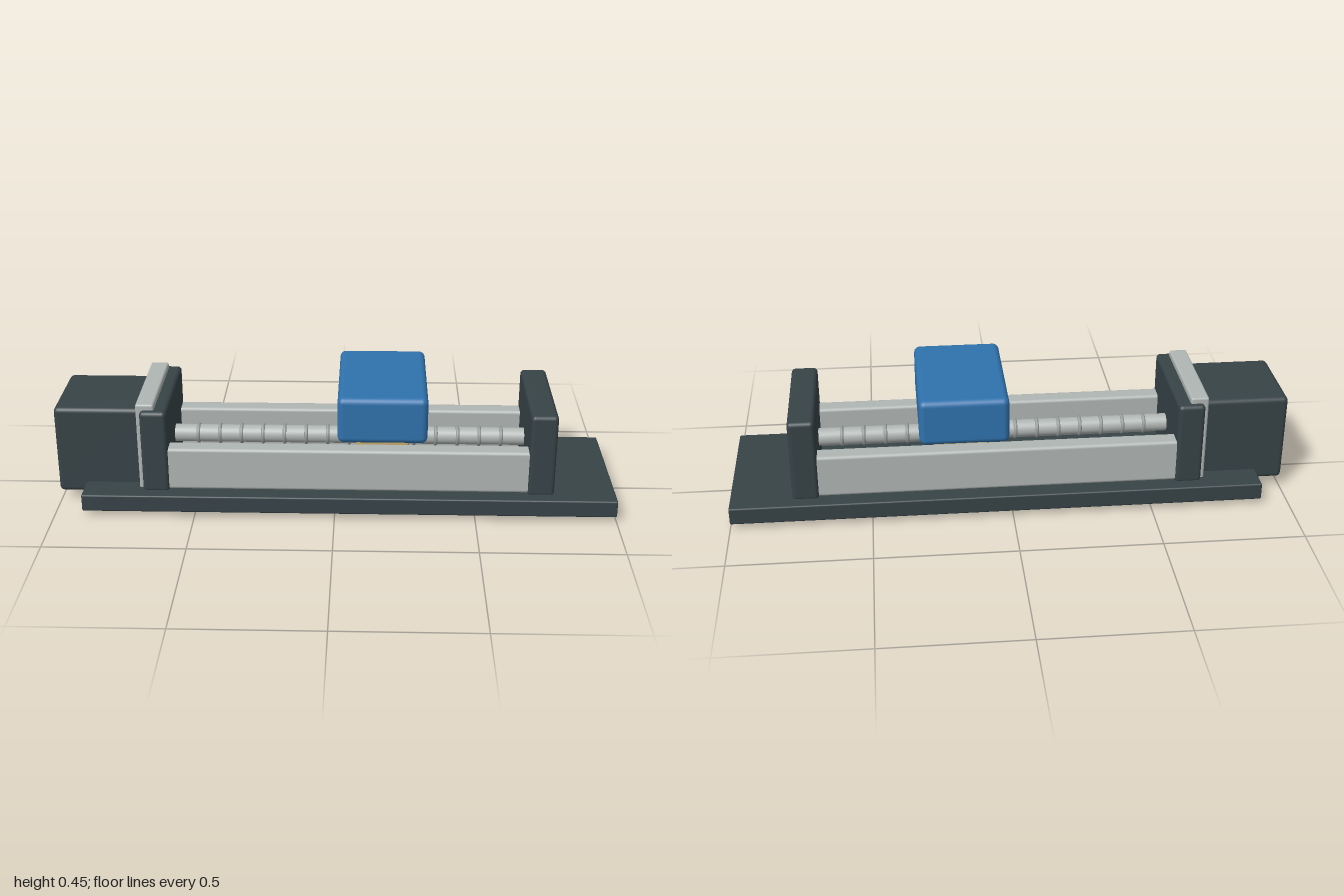
import * as THREE from 'three';
import { RoundedBoxGeometry } from 'three/addons/geometries/RoundedBoxGeometry.js';

const material = (color) => new THREE.MeshStandardMaterial({ color });

export function createModel() {
  const model = new THREE.Group();
  const dark = material(0x374347);
  const steel = material(0xb0b6b4);
  const screwSteel = material(0x9a9f9f);
  const blue = material(0x2f72ad);
  const brass = material(0xc8aa6a);

  const add = (name, geometry, mat, parent = model) => {
    const mesh = new THREE.Mesh(geometry, mat);
    mesh.name = name;
    parent.add(mesh);
    return mesh;
  };

  // Bevelled box from its x, y and z ranges
  const block = (name, [x0, x1], [y0, y1], [z0, z1], bevel, mat) => {
    const geometry = new RoundedBoxGeometry(x1 - x0, y1 - y0, z1 - z0, 3, bevel);
    const mesh = add(name, geometry, mat);
    mesh.position.set((x0 + x1) / 2, (y0 + y1) / 2, (z0 + z1) / 2);
    return mesh;
  };

  // Base and end supports
  block('basePlate', [-0.9, 1], [0.02, 0.083], [-0.273, 0.273], 0.006, dark);
  block('motorEndSupport', [-0.685, -0.59], [0.075, 0.384], [-0.225, 0.225], 0.015, dark);
  block('farEndSupport', [0.685, 0.78], [0.075, 0.384], [-0.225, 0.225], 0.015, dark);

  // Motor and its mounting flange
  block('motorBody', [-1, -0.66], [0.043, 0.37], [-0.163, 0.163], 0.017, dark);
  block('motorFlange', [-0.7, -0.635], [0, 0.405], [-0.203, 0.203], 0.008, steel);

  // Pair of guide rails
  for (const side of [-1, 1]) {
    const rail = block(side > 0 ? 'frontRail' : 'backRail',
      [-0.62, 0.72], [0.083, 0.241], [-0.034, 0.034], 0.012, steel);
    rail.position.z = side * 0.182;
  }

  // Lead screw with evenly spaced thread rings
  const screw = new THREE.Group();
  screw.name = 'leadScrew';
  screw.position.y = 0.208;
  model.add(screw);
  const shaft = add('screwShaft', new THREE.CylinderGeometry(0.032, 0.032, 1.32, 32), steel, screw);
  shaft.rotation.z = Math.PI / 2;
  shaft.position.x = 0.05;
  const ringGeometry = new THREE.TorusGeometry(0.031, 0.007, 8, 32);
  for (let i = 0; i < 15; i++) {
    const ring = add('threadRing', ringGeometry, screwSteel, screw);
    ring.rotation.y = Math.PI / 2;
    ring.position.x = -0.505 + i * 0.079;
  }

  // Carriage riding on the screw nut
  block('screwNut', [0.075, 0.265], [0.14, 0.29], [-0.08, 0.08], 0.008, brass);
  block('carriage', [0.01, 0.325], [0.28, 0.45], [-0.24, 0.24], 0.022, blue);

  return model;
}
